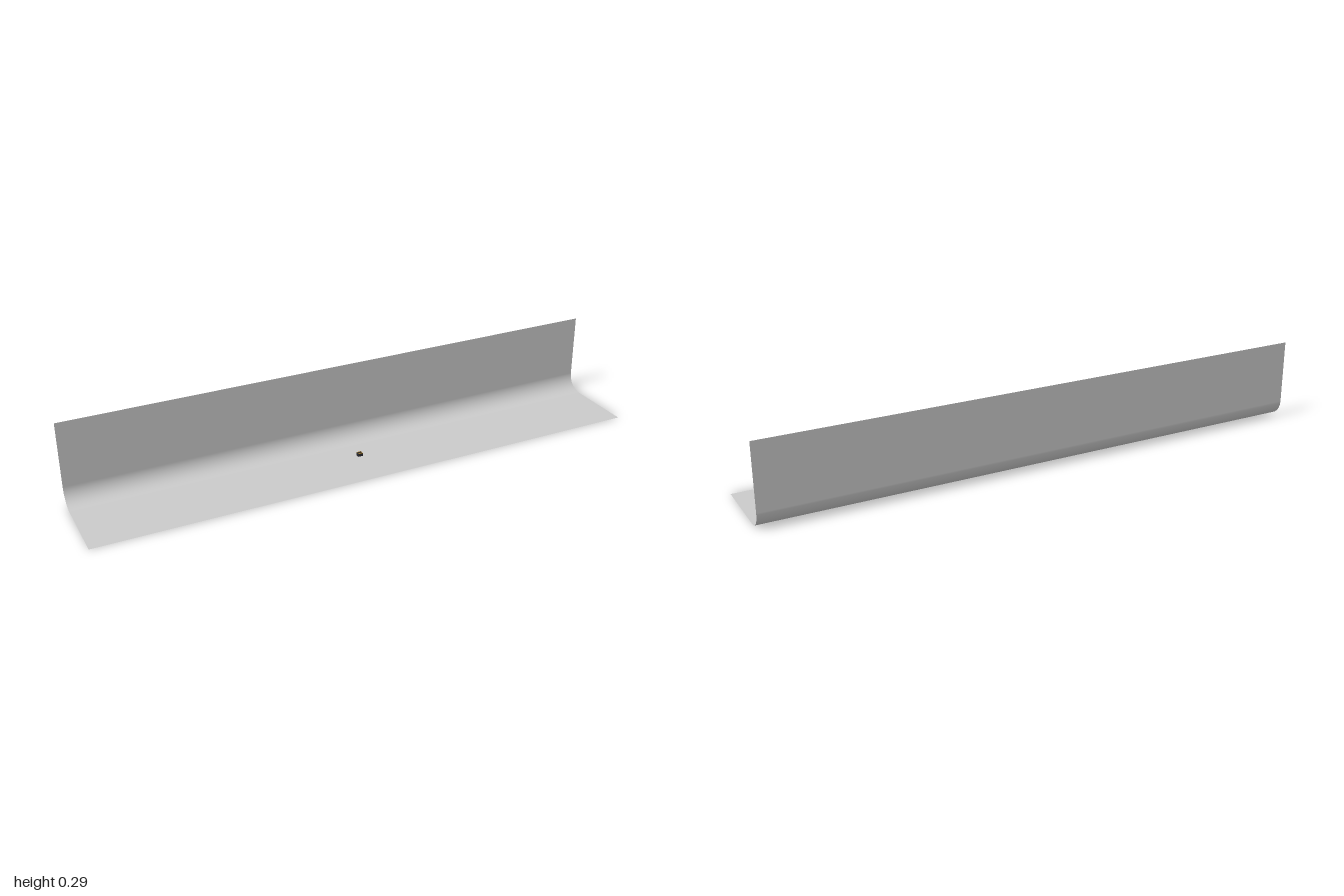
import * as THREE from 'three';

const HEIGHT = 0.29, DEPTH = 0.305, RADIUS = 0.06, ARC_STEPS = 16;

// Profile of the sheet from the top of the wall, round the bend, to the front edge.
function sweepProfile() {
  const back = -DEPTH / 2;
  const points = [[HEIGHT, back]];
  for (let i = 0; i <= ARC_STEPS; i++) {
    const a = (i / ARC_STEPS) * Math.PI / 2;
    points.push([RADIUS * (1 - Math.sin(a)), back + RADIUS * (1 - Math.cos(a))]);
  }
  points.push([0, DEPTH / 2]);
  return points;
}

// Thin backdrop: a plane whose rows follow the profile.
function createBackdrop() {
  const profile = sweepProfile();
  const geometry = new THREE.PlaneGeometry(2, 1, 1, profile.length - 1);
  const pos = geometry.attributes.position;
  for (let i = 0; i < pos.count; i++) {
    const [y, z] = profile[Math.floor(i / 2)];
    pos.setXYZ(i, pos.getX(i), y, z);
  }
  geometry.computeVertexNormals();
  const material = new THREE.MeshStandardMaterial({ color: 0xcccccc, side: THREE.DoubleSide });
  const mesh = new THREE.Mesh(geometry, material);
  mesh.name = 'curvedBackdrop';
  return mesh;
}

// Tiny block standing on the floor of the backdrop.
function createMiniature() {
  const group = new THREE.Group();
  group.name = 'miniature';
  const dark = new THREE.MeshStandardMaterial({ color: 0x2b2b30 });
  const amber = new THREE.MeshStandardMaterial({ color: 0xc08a20 });
  const add = (name, size, at, material) => {
    const mesh = new THREE.Mesh(new THREE.BoxGeometry(...size), material);
    mesh.position.set(...at);
    mesh.name = name;
    group.add(mesh);
  };
  add('miniatureBody', [0.018, 0.01, 0.014], [0, 0.006, 0], dark);
  add('miniatureTop', [0.012, 0.002, 0.01], [0, 0.012, 0], dark);
  for (const s of [-1, 1]) {
    add('miniatureTrim', [0.016, 0.002, 0.003], [0, 0.012, s * 0.0055], amber);
    add('miniatureFoot', [0.014, 0.001, 0.003], [0, 0.0005, s * 0.004], dark);
  }
  group.position.set(0, 0, -0.013);
  return group;
}

export function createModel() {
  const model = new THREE.Group();
  model.name = 'backdropWithMiniature';
  model.add(createBackdrop(), createMiniature());
  return model;
}
